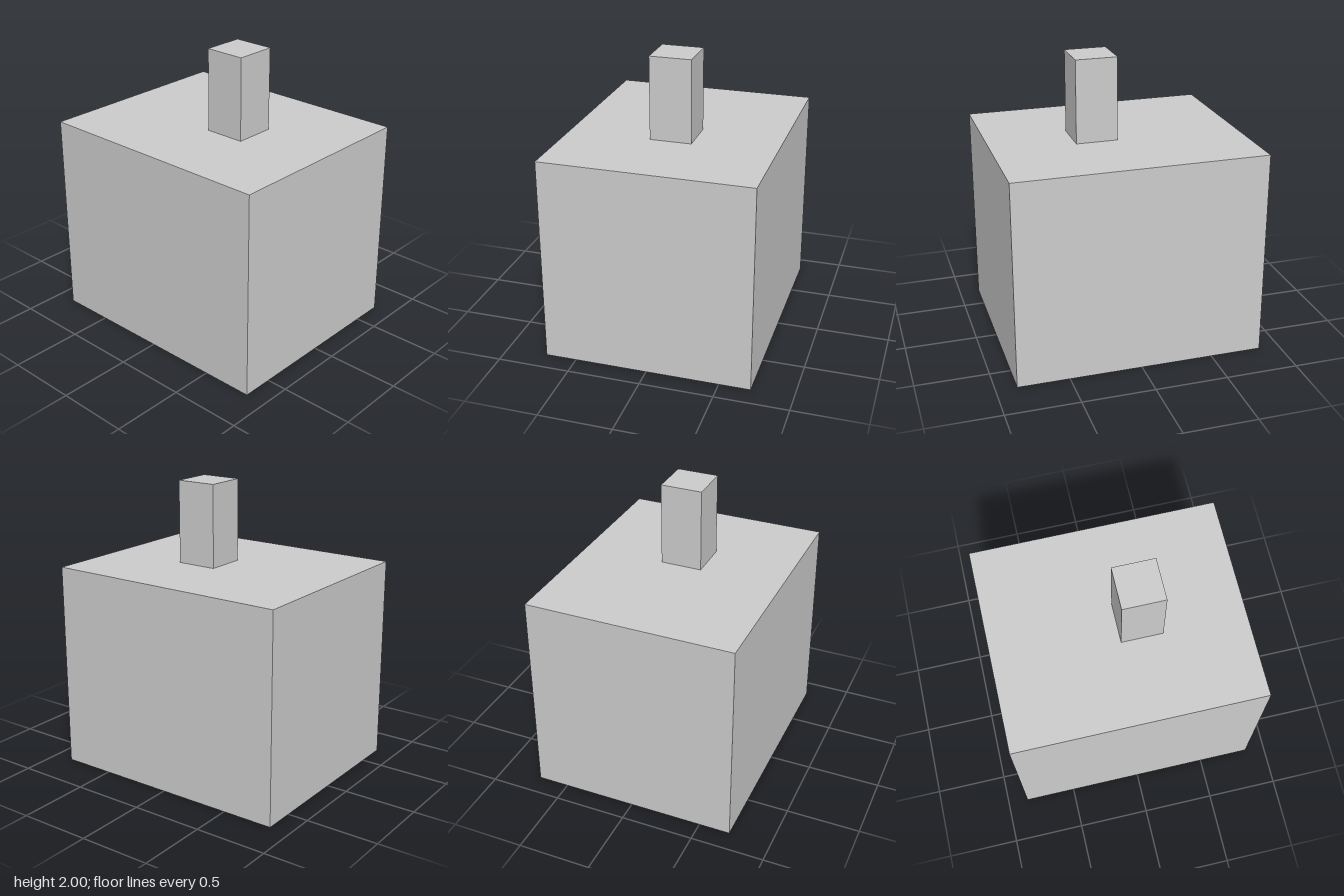
import * as THREE from 'three';

const U = 1 / 7; // the parts sit on a grid of 14 units in height

export function createModel() {
  const group = new THREE.Group();
  const material = new THREE.MeshStandardMaterial({ color: 0xcccccc, flatShading: true });

  // Adds a box of the given size in grid units, standing on height y
  function addBlock(name, w, h, d, y, z) {
    const mesh = new THREE.Mesh(new THREE.BoxGeometry(w * U, h * U, d * U), material);
    mesh.name = name;
    mesh.position.set(0, (y + h / 2) * U, z * U);
    group.add(mesh);
  }

  // Large main block
  addBlock('body', 10, 10, 12, 0, 0);
  // Square post on top, set forward of the centre
  addBlock('post', 2, 4, 2, 10, 1);

  return group;
}
